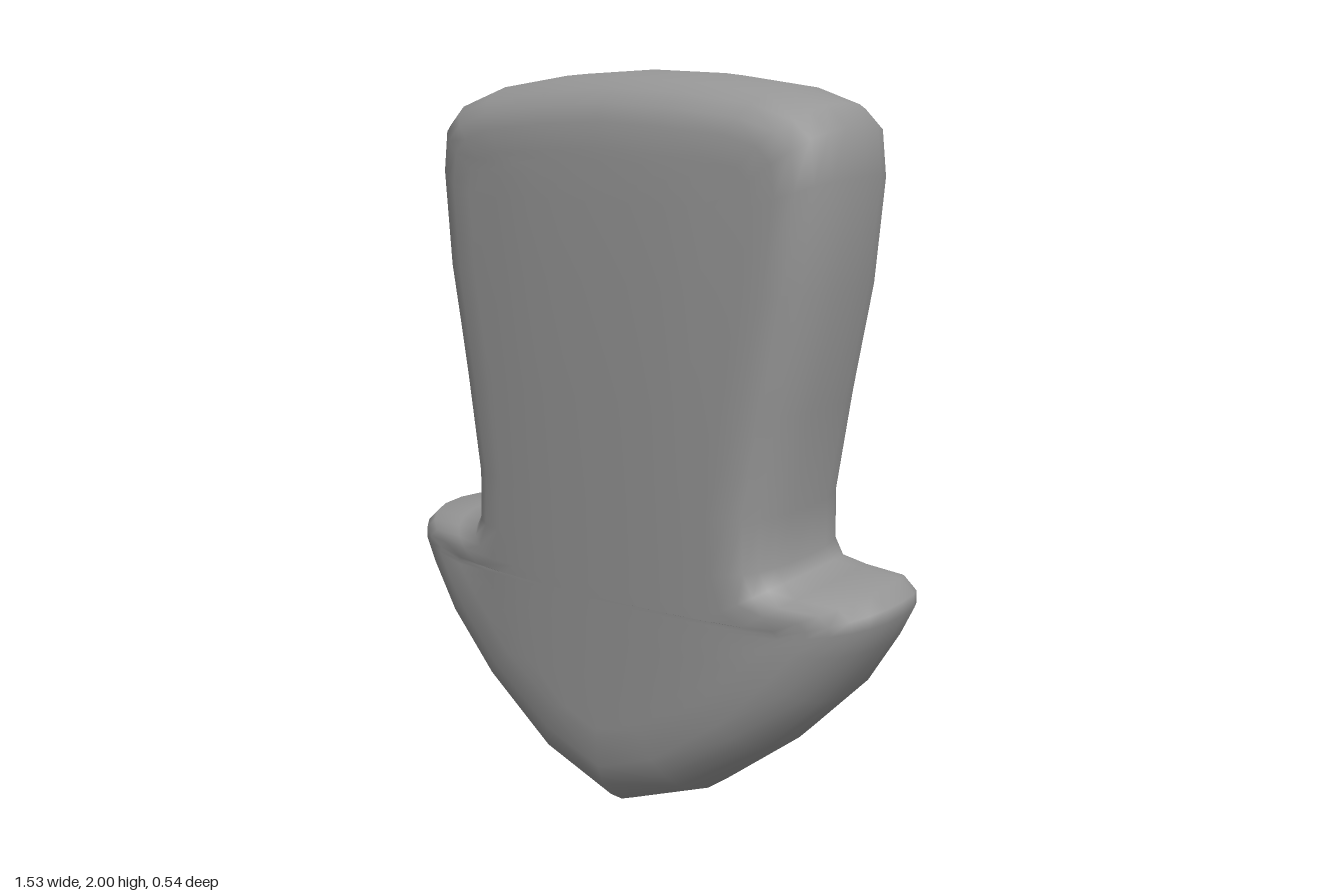
import * as THREE from 'three';
import { mergeVertices } from 'three/addons/utils/BufferGeometryUtils.js';

// Left half from the bottom tip to the top: silhouette x, y and where its rounded rim ends x, y
const HALF = [
  [0, 0, 0, 0.25], [0.25, 0.1, 0.14, 0.3], [0.475, 0.28, 0.32, 0.42], [0.635, 0.45, 0.44, 0.54],
  [0.725, 0.6, 0.5, 0.6], [0.763, 0.68, 0.53, 0.63], [0.76, 0.715, 0.53, 0.64], [0.72, 0.75, 0.52, 0.65],
  [0.6, 0.755, 0.44, 0.65], [0.52, 0.76, 0.38, 0.68], [0.495, 0.79, 0.35, 0.77], [0.495, 0.92, 0.34, 0.92],
  [0.54, 1.18, 0.37, 1.18], [0.598, 1.48, 0.42, 1.48], [0.625, 1.75, 0.44, 1.68], [0.612, 1.87, 0.43, 1.74],
  [0.56, 1.92, 0.4, 1.77], [0.44, 1.96, 0.33, 1.79], [0.22, 1.99, 0.17, 1.8], [0, 2, 0, 1.81],
];

// Gentle dome of the broad faces, thinner towards the barbs and the top
const dome = (x, y) => 0.268 - 0.08 * x ** 2 - 0.35 * x ** 4 - 0.06 * Math.max(y - 1.3, 0) ** 2;

export function createModel() {
  const mirrored = HALF.slice(1, -1).reverse().map(([x, y, ix, iy]) => [-x, y, -ix, iy]);
  const outline = [...HALF, ...mirrored];

  // Rings from the front spine, over the rim, to the back spine
  const CAP = 4, RIM = 6, rings = [];
  for (let i = 0; i < CAP; i++) {
    const t = i / CAP;
    rings.push(outline.map(([, , ix, iy]) => {
      const x = ix * t;
      const y = THREE.MathUtils.lerp(THREE.MathUtils.clamp(iy, 0.35, 1.7), iy, t);
      return [x, y, dome(x, y)];
    }));
  }
  for (let i = 0; i <= RIM; i++) {
    const a = (1 - i / RIM) * Math.PI / 2;
    const out = Math.pow(Math.max(Math.cos(a), 0), 0.8);
    const up = Math.pow(Math.sin(a), 0.8);
    rings.push(outline.map(([x, y, ix, iy]) => [
      ix + (x - ix) * out, iy + (y - iy) * out, dome(ix, iy) * up,
    ]));
  }
  for (let i = rings.length - 2; i >= 0; i--) rings.push(rings[i].map(([x, y, z]) => [x, y, -z]));

  // Skin between the rings
  const n = outline.length, index = [];
  for (let i = 0; i < rings.length - 1; i++) {
    for (let j = 0; j < n; j++) {
      const a = i * n + j, b = i * n + (j + 1) % n;
      index.push(a, a + n, b + n, a, b + n, b);
    }
  }
  let geometry = new THREE.BufferGeometry();
  geometry.setAttribute('position', new THREE.Float32BufferAttribute(rings.flat(2), 3));
  geometry.setIndex(index);
  geometry = mergeVertices(geometry, 1e-4);
  geometry.computeVertexNormals();

  const arrow = new THREE.Mesh(geometry, new THREE.MeshStandardMaterial({ color: 0x969696 }));
  arrow.name = 'downArrow';
  const group = new THREE.Group();
  group.name = 'arrow';
  group.add(arrow);
  return group;
}
